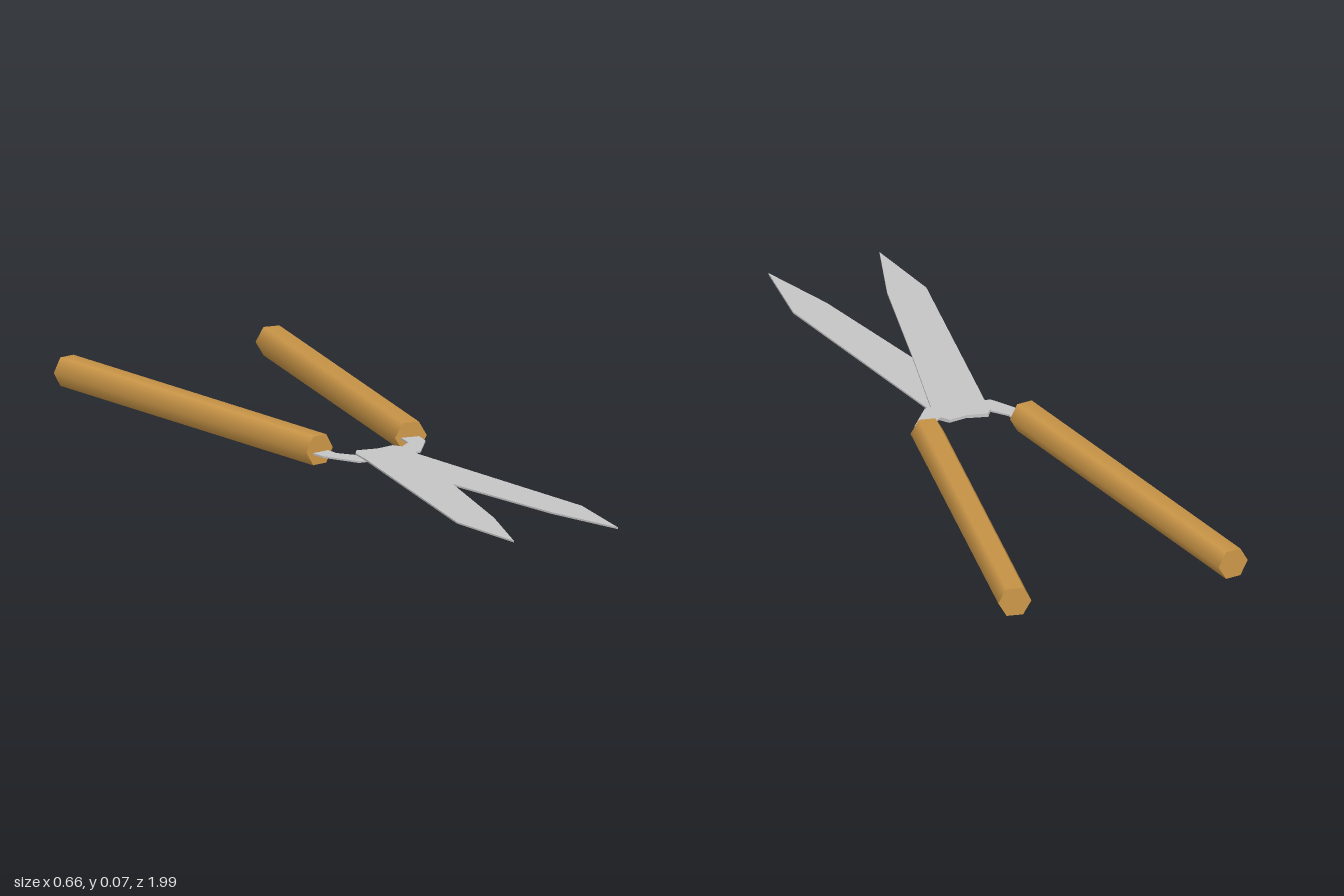
import * as THREE from 'three';

const wood = new THREE.MeshStandardMaterial({ color: 0xcc9748 });
wood.name = 'wood';
const steel = new THREE.MeshStandardMaterial({ color: 0xc4c4c4 });
steel.name = 'steel';

const HANDLE_RADIUS = 0.042;
const HANDLE_Y = HANDLE_RADIUS * Math.cos(Math.PI / 6); // rests on a flat side

// Hexagonal handle running between two [x, z] points
function handle(name, near, far) {
  const dx = near[0] - far[0], dz = near[1] - far[1];
  const geo = new THREE.CylinderGeometry(HANDLE_RADIUS, HANDLE_RADIUS, Math.hypot(dx, dz), 6, 1, false, Math.PI / 2);
  geo.rotateX(Math.PI / 2);
  const mesh = new THREE.Mesh(geo, wood);
  mesh.name = name;
  mesh.rotation.y = Math.atan2(dx, dz);
  mesh.position.set((near[0] + far[0]) / 2, HANDLE_Y, (near[1] + far[1]) / 2);
  return mesh;
}

// Thin flat blade with its tang, outlined in [x, z], its upper face at height top
function blade(name, outline, top) {
  const shape = new THREE.Shape(outline.map(([x, z]) => new THREE.Vector2(x, z)));
  const geo = new THREE.ExtrudeGeometry(shape, { depth: 0.0045, bevelEnabled: false });
  geo.rotateX(Math.PI / 2);
  const mesh = new THREE.Mesh(geo, steel);
  mesh.name = name;
  mesh.position.y = top;
  return mesh;
}

export function createModel() {
  const shears = new THREE.Group();
  shears.name = 'gardenShears';

  shears.add(handle('rightHandle', [-0.109, -0.008], [-0.294, -0.979]));
  shears.add(handle('leftHandle', [0.15, -0.012], [0.288, -0.991]));

  // Upper blade: tip on the right, tang crossing to the left handle
  shears.add(blade('upperBlade', [
    [-0.103, 0.99], [-0.14, 0.76], [-0.05, 0.12], [-0.045, 0.06], [-0.03, 0.037],
    [0.025, 0.046], [0.072, 0.036], [0.088, 0.058], [0.12, 0.03], [0.125, -0.03],
    [0.175, -0.03], [0.165, 0.035], [0.107, 0.118], [0.09, 0.12], [0.03, 0.41], [-0.04, 0.77],
  ], 0.0355));

  // Lower blade: tip on the left, tang crossing to the right handle
  shears.add(blade('lowerBlade', [
    [0.193, 0.985], [0.214, 0.757], [0.095, 0.12], [0.09, 0.06], [0.072, 0.038],
    [0.025, 0.048], [-0.03, 0.036], [-0.045, 0.06], [-0.078, 0.022], [-0.085, -0.03],
    [-0.135, -0.03], [-0.122, 0.03], [-0.067, 0.118], [-0.045, 0.12], [0.03, 0.41], [0.118, 0.775],
  ], 0.031));

  return shears;
}
